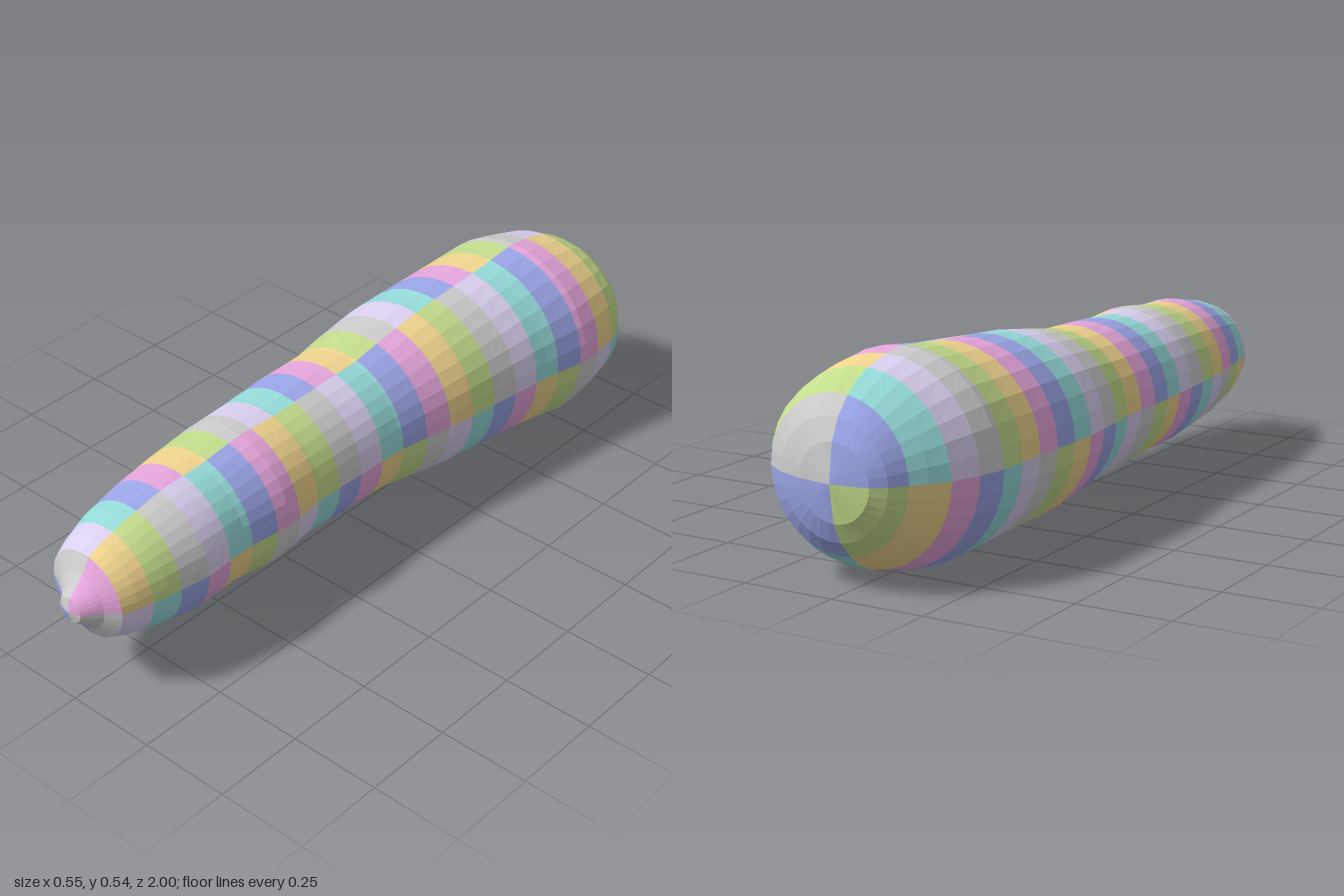
import * as THREE from 'three';

const BANDS = 25, STEP = 2 / BANDS, SIDES = 8, AXIS_Y = 0.277;
const PALETTE = [0xe6a6dc, 0xf0d48e, 0xc3dc8c, 0xcccccc, 0xdad0f0, 0x96dcda, 0x9ca6e8];

// z, reach towards +x, reach towards -x
const PROFILE = [
  [1, 0, 0], [0.99, 0.035, 0.035], [0.965, 0.055, 0.055], [0.945, 0.07, 0.085], [0.92, 0.105, 0.135],
  [0.88, 0.12, 0.155], [0.8, 0.138, 0.182], [0.68, 0.158, 0.205], [0.54, 0.15, 0.225],
  [0.4, 0.167, 0.237], [0.27, 0.153, 0.243], [0.12, 0.158, 0.252], [-0.03, 0.164, 0.252],
  [-0.12, 0.18, 0.265], [-0.27, 0.205, 0.28], [-0.4, 0.222, 0.278], [-0.56, 0.243, 0.274],
  [-0.7, 0.273, 0.271], [-0.76, 0.27, 0.255], [-0.84, 0.26, 0.228], [-0.885, 0.25, 0.195],
  [-0.92, 0.225, 0.165], [-0.96, 0.165, 0.135], [-0.985, 0.095, 0.1], [-1, 0, 0]
];

// Circle centre and radius at a given z
function sectionAt(z) {
  let i = 0;
  while (i < PROFILE.length - 2 && PROFILE[i + 1][0] > z) i++;
  const a = PROFILE[i], b = PROFILE[i + 1];
  const t = THREE.MathUtils.clamp((a[0] - z) / (a[0] - b[0]), 0, 1);
  const right = THREE.MathUtils.lerp(a[1], b[1], t);
  const left = THREE.MathUtils.lerp(a[2], b[2], t);
  return { centre: (right - left) / 2, radius: (right + left) / 2 };
}

// One quarter of one band, measured by angle around the straight axis
function patchGeometry(zFront, zBack, quarter) {
  const inner = PROFILE.map(p => p[0]).filter(z => z < zFront - 0.004 && z > zBack + 0.004);
  const rings = [zFront, ...inner, zBack];
  const points = [], index = [];
  rings.forEach((z, i) => {
    const { centre, radius } = sectionAt(z);
    for (let j = 0; j <= SIDES; j++) {
      const angle = (quarter + j / SIDES) * Math.PI / 2;
      const c = Math.cos(angle), s = Math.sin(angle);
      const reach = centre * c + Math.sqrt(Math.max(0, radius * radius - centre * centre * s * s));
      points.push(reach * c, AXIS_Y + reach * s, z);
      if (i > 0 && j > 0) {
        const d = i * (SIDES + 1) + j, k = d - 1;
        const b = d - SIDES - 1, a = b - 1;
        index.push(k, d, a, d, b, a);
      }
    }
  });
  const geometry = new THREE.BufferGeometry();
  geometry.setAttribute('position', new THREE.Float32BufferAttribute(points, 3));
  geometry.setIndex(index);
  geometry.computeVertexNormals();
  return geometry;
}

export function createModel() {
  const model = new THREE.Group();
  model.name = 'bandedBody';
  const materials = PALETTE.map(color => new THREE.MeshStandardMaterial({ color, flatShading: true }));
  const quarters = ['upperLeftPatch', 'upperRightPatch', 'lowerRightPatch', 'lowerLeftPatch'];
  const shifts = [0, 3, 6, 3];

  // Bands from the narrow front tip to the thick rounded back
  for (let i = 0; i < BANDS; i++) {
    const band = new THREE.Group();
    band.name = i === 0 ? 'frontTip' : i === BANDS - 1 ? 'backCap' : `band${i}`;
    quarters.forEach((name, q) => {
      const geometry = patchGeometry(1 - i * STEP, 1 - (i + 1) * STEP, q);
      const patch = new THREE.Mesh(geometry, materials[(i + shifts[q]) % PALETTE.length]);
      patch.name = name;
      band.add(patch);
    });
    model.add(band);
  }
  return model;
}
